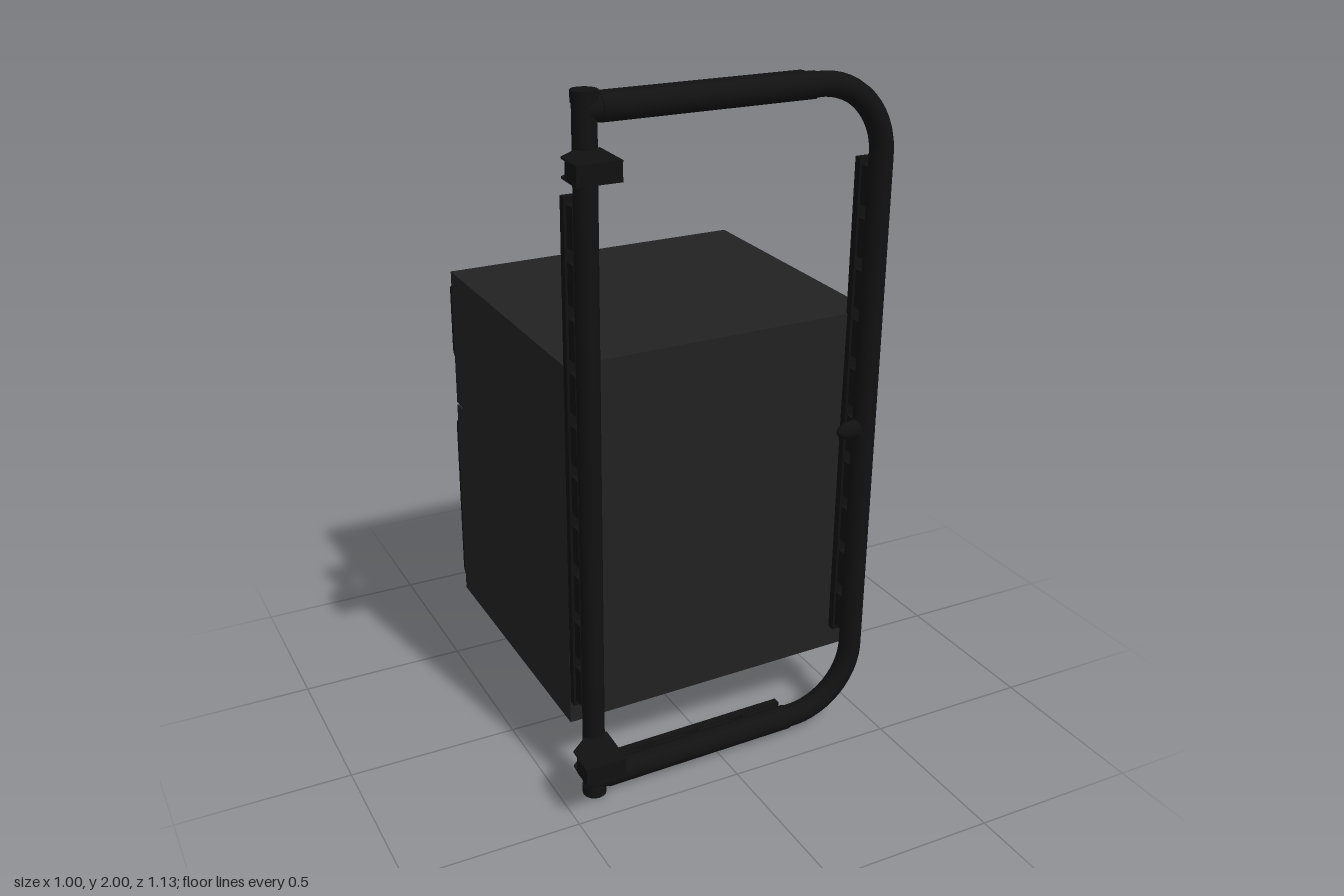
import * as THREE from 'three';
import { RoundedBoxGeometry } from 'three/addons/geometries/RoundedBoxGeometry.js';

const dark = () => new THREE.MeshStandardMaterial({ color: 0x111111 });
const cabinetMat = new THREE.MeshStandardMaterial({ color: 0x222222 });
const frameMat = dark();
const panelMat = dark();

function add(parent, name, geometry, material, x = 0, y = 0, z = 0) {
  const mesh = new THREE.Mesh(geometry, material);
  mesh.name = name;
  mesh.position.set(x, y, z);
  parent.add(mesh);
  return mesh;
}
const box = (w, h, d) => new THREE.BoxGeometry(w, h, d);
const V = (x, y, z = 0) => new THREE.Vector3(x, y, z);

// Slotted backing strip: a plate held off the tube by short spacers
function backingStrip(length, width) {
  const strip = new THREE.Group();
  add(strip, 'stripPlate', box(width, length, 0.022), frameMat, 0, 0, -0.056);
  const count = Math.round(length / 0.15);
  for (let i = 0; i < count; i++) {
    const y = -length / 2 + (i + 0.5) * length / count;
    add(strip, 'stripSpacer', box(width * 0.8, length / count * 0.75, 0.04), frameMat, 0, y, -0.03);
  }
  return strip;
}

// Hinge bracket: two thin plates carrying a solid block
function hinge() {
  const group = new THREE.Group();
  const outline = [[-0.035, 0.01], [-0.085, 0.05], [-0.09, 0.145], [0.03, 0.145], [0.035, 0.01]];
  const shape = new THREE.Shape(outline.map(([x, z]) => new THREE.Vector2(x, -z)));
  for (const y of [-0.026, 0.021]) {
    const plate = new THREE.ExtrudeGeometry(shape, { depth: 0.005, bevelEnabled: false });
    plate.rotateX(-Math.PI / 2);
    add(group, 'hingePlate', plate, frameMat, 0, y, 0);
  }
  add(group, 'hingeBlock', box(0.118, 0.048, 0.064), frameMat, -0.03, 0, 0.113);
  return group;
}

function createFrame() {
  const frame = new THREE.Group();
  frame.name = 'frame';
  const left = -0.407, right = 0.452, top = 0.953, r = 0.2, k = r * 0.4477;

  // Hinge post with end caps
  add(frame, 'hingePost', new THREE.CylinderGeometry(0.031, 0.031, 1.99, 16), frameMat, left);
  for (const s of [-1, 1]) {
    add(frame, 'postCap', new THREE.CylinderGeometry(0.034, 0.034, 0.03, 16), frameMat, left, s * 0.984);
  }

  // Bent tube: top bar, rounded corner, side, rounded corner, bottom bar
  const path = new THREE.CurvePath();
  path.add(new THREE.LineCurve3(V(left, top), V(right - r, top)));
  path.add(new THREE.CubicBezierCurve3(V(right - r, top), V(right - k, top), V(right, top - k), V(right, top - r)));
  path.add(new THREE.LineCurve3(V(right, top - r), V(right, r - top)));
  path.add(new THREE.CubicBezierCurve3(V(right, r - top), V(right, k - top), V(right - k, -top), V(right - r, -top)));
  path.add(new THREE.LineCurve3(V(right - r, -top), V(left, -top)));
  add(frame, 'bentTube', new THREE.TubeGeometry(path, 140, 0.033, 16), frameMat);

  // Strips and sleeves along the straight runs
  for (const x of [left - 0.004, right]) {
    const strip = backingStrip(1.46, 0.068);
    strip.name = 'sideStrip';
    strip.position.set(x, 0.005, 0);
    frame.add(strip);
  }
  for (const s of [-1, 1]) {
    const sleeve = add(frame, 'barSleeve', new THREE.CylinderGeometry(0.036, 0.036, 0.6, 16), frameMat, -0.07, s * top);
    sleeve.rotation.z = Math.PI / 2;
    const strip = backingStrip(0.6, 0.055);
    strip.name = 'barStrip';
    strip.position.set(-0.07, s * top, 0.006);
    strip.rotation.z = Math.PI / 2;
    frame.add(strip);
  }

  for (const y of [0.835, -0.825]) {
    const h = hinge();
    h.name = 'hinge';
    h.position.set(left, y, 0);
    frame.add(h);
  }

  // Latch tab on the inner side of the free upright
  const latch = add(frame, 'latch', new THREE.SphereGeometry(0.03, 16, 10), frameMat, 0.41, -0.035, 0.005);
  latch.scale.set(1.75, 0.95, 0.7);

  frame.position.set(0, 1, 0.4);
  frame.rotation.set(0.021, 0.017, 0.005);
  return frame;
}

// Perforated drawer panel with sloped flanges; the short sides stay open
function drawerPanel(topY, bottomY, rows) {
  const panel = new THREE.Group();
  const w = 0.92, hw = w / 2, slope = 0.03;
  const y1 = topY - slope, y0 = bottomY + slope * 1.3;
  const shape = new THREE.Shape([[-hw, y0], [hw, y0], [hw, y1], [-hw, y1]].map(p => new THREE.Vector2(...p)));
  for (let row = 0; row < rows; row++) {
    const y = y0 + (row + 0.5) * (y1 - y0) / rows;
    const n = row % 3 === 1 ? 9 : 15;
    const a = row % 3 === 1 ? 0.028 : 0.013;
    for (let i = 0; i < n; i++) {
      const x = -hw + (i + 0.5 + (row % 2) * 0.15) * w / n;
      const hole = new THREE.Path();
      hole.moveTo(x - a, y - 0.005);
      hole.lineTo(x - a, y + 0.005);
      hole.lineTo(x + a, y + 0.005);
      hole.lineTo(x + a, y - 0.005);
      hole.closePath();
      shape.holes.push(hole);
    }
  }
  const face = new THREE.ExtrudeGeometry(shape, { depth: 0.01, bevelEnabled: false });
  add(panel, 'panelFace', face, panelMat, 0, 0, -0.457);

  for (const [ya, yb] of [[topY, y1], [bottomY, y0]]) {
    const dz = 0.042, dy = yb - ya;
    const flange = add(panel, 'panelFlange', box(w, 0.01, Math.hypot(dy, dz)), panelMat, 0, (ya + yb) / 2, -0.432);
    flange.rotation.x = Math.atan2(dy, dz);
  }
  return panel;
}

function createCabinet() {
  const cabinet = new THREE.Group();
  cabinet.name = 'cabinet';
  add(cabinet, 'cabinetBody', box(0.94, 1.09, 0.775), cabinetMat, 0, 0, 0.0175);

  // Two drawer fronts separated by a narrow seam
  add(cabinet, 'upperDrawerFront', box(0.94, 0.426, 0.045), cabinetMat, 0, 0.332, -0.3925);
  add(cabinet, 'lowerDrawerFront', box(0.94, 0.655, 0.045), cabinetMat, 0, -0.2175, -0.3925);

  const upper = drawerPanel(0.507, 0.236, 6);
  upper.name = 'upperPanel';
  const lower = drawerPanel(0.061, -0.535, 13);
  lower.name = 'lowerPanel';
  cabinet.add(upper, lower);

  // Catches between the panels
  for (const s of [-1, 1]) {
    add(cabinet, 'drawerCatch', new RoundedBoxGeometry(0.12, 0.06, 0.03, 3, 0.012), panelMat, s * 0.38, 0.165, -0.412);
  }
  cabinet.position.set(0.02, 0.76, -0.08);
  cabinet.rotation.set(0.034, 0.017, 0.006);
  return cabinet;
}

export function createModel() {
  const model = new THREE.Group();
  model.name = 'cabinetOnFrame';
  model.add(createFrame(), createCabinet());
  return model;
}
